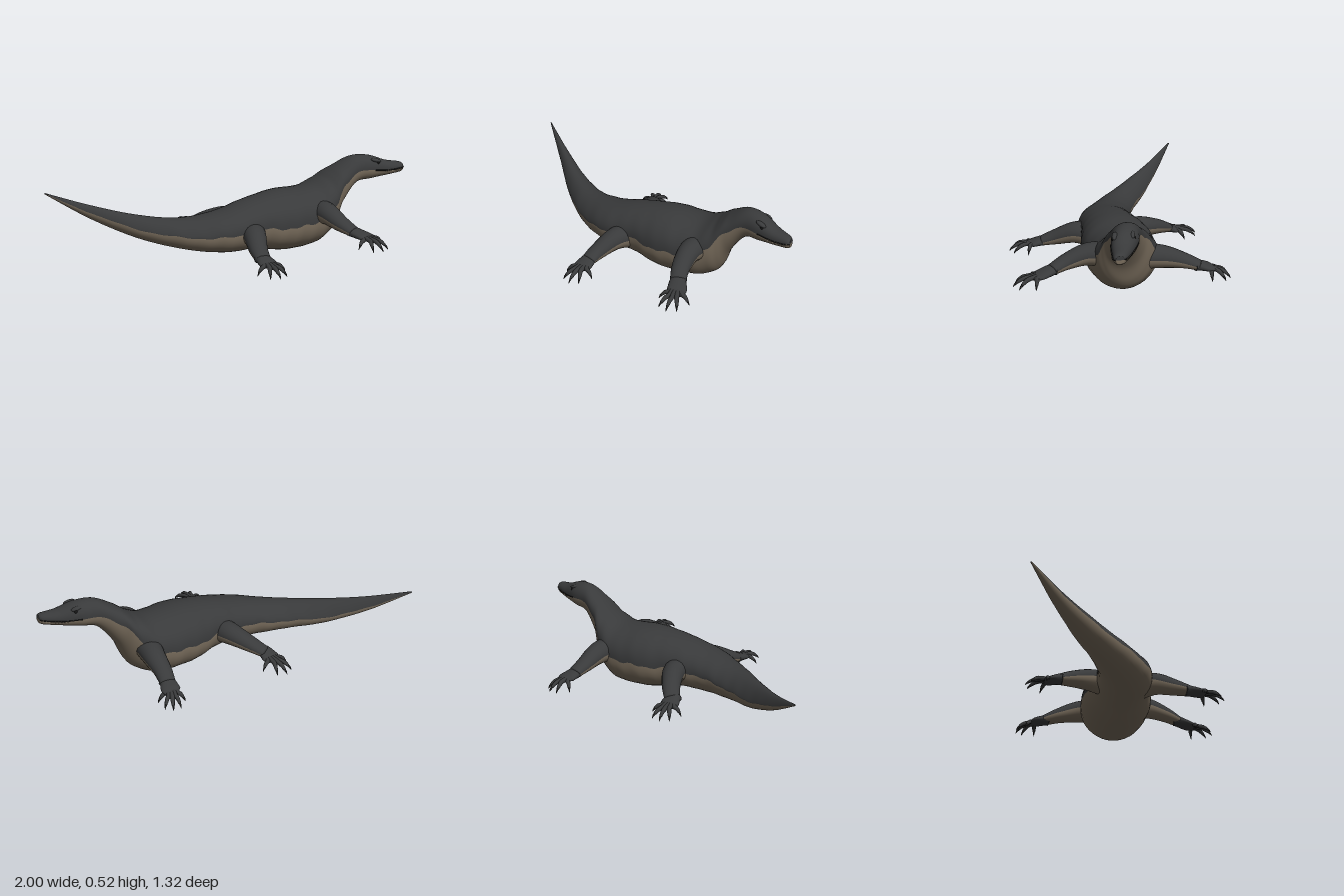
import * as THREE from 'three';

const V = (x, y, z) => new THREE.Vector3(x, y, z);

// Smoothly interpolate every column of a small table of cross-sections
function refine(rows, steps) {
  const out = [], at = i => rows[Math.min(Math.max(i, 0), rows.length - 1)];
  for (let i = 0; i < rows.length - 1; i++) {
    for (let s = 0; s < steps; s++) {
      const t = s / steps;
      out.push(rows[i].map((b, c) => {
        const a = at(i - 1)[c], d = at(i + 1)[c], e = at(i + 2)[c];
        return 0.5 * (2 * b + (d - a) * t + (2 * a - 5 * b + 4 * d - e) * t * t + (3 * b - a - 3 * d + e) * t ** 3);
      }));
    }
  }
  out.push(rows[rows.length - 1]);
  return out;
}

// Skin closed rings; the first half of each ring takes material 0, the rest material 1
function skin(name, rings, materials) {
  const n = rings[0].length, last = rings.length - 1, points = rings.flat(), halves = [[], []];
  for (const r of [rings[0], rings[last]])
    points.push(r.reduce((s, p) => s.add(p), V(0, 0, 0)).divideScalar(n));
  const capA = rings.length * n, capB = capA + 1;
  for (let j = 0; j < n; j++) {
    const k = (j + 1) % n, list = halves[j < n / 2 ? 0 : 1];
    for (let i = 0; i < last; i++) {
      const a = i * n + j, b = i * n + k;
      list.push(a, b, a + n, b, b + n, a + n);
    }
    list.push(capA, k, j, capB, last * n + j, last * n + k);
  }
  // Turn the faces outward if the signed volume is negative
  let volume = 0;
  for (const h of halves) for (let i = 0; i < h.length; i += 3)
    volume += points[h[i]].dot(points[h[i + 1]].clone().cross(points[h[i + 2]]));
  if (volume < 0) for (const h of halves) h.reverse();

  const g = new THREE.BufferGeometry().setFromPoints(points);
  g.setIndex([...halves[0], ...halves[1]]);
  g.addGroup(0, halves[0].length, 0);
  g.addGroup(halves[0].length, halves[1].length, 1);
  g.computeVertexNormals();
  const mesh = new THREE.Mesh(g, materials);
  mesh.name = name;
  return mesh;
}

// Limb with elliptical sections: rows of x, y, z, half width, half height
function limb(name, rows, steps, n, materials) {
  const fine = refine(rows, steps), c = fine.map(r => V(r[0], r[1], r[2]));
  const rings = fine.map((r, i) => {
    const t = c[Math.min(i + 1, c.length - 1)].clone().sub(c[Math.max(i - 1, 0)]).normalize();
    const side = t.clone().cross(V(0, 1, 0)).normalize(), up = side.clone().cross(t);
    return Array.from({ length: n }, (_, j) => {
      const a = j / n * Math.PI * 2;
      return c[i].clone().addScaledVector(side, Math.cos(a) * r[3]).addScaledVector(up, Math.sin(a) * r[4]);
    });
  });
  return skin(name, rings, materials);
}

// Body from tail tip to snout: x, z min, z max, top, colour seam, bottom
const BODY = [
  [-1, -.665, -.655, .392, .388, .384],
  [-.8, -.525, -.425, .33, .285, .245],
  [-.6, -.385, -.18, .286, .212, .145],
  [-.4, -.255, .02, .272, .188, .09],
  [-.2, -.18, .135, .302, .19, .06],
  [0, -.172, .163, .347, .205, .05],
  [.2, -.203, .208, .372, .19, .009],
  [.4, -.19, .203, .366, .205, .01],
  [.5, -.15, .188, .402, .26, .05],
  [.55, -.11, .172, .435, .33, .105],
  [.6, -.062, .16, .47, .385, .225],
  [.7, -.004, .157, .522, .44, .352],
  [.8, .032, .184, .52, .44, .374],
  [.9, .09, .203, .483, .43, .39],
  [.98, .14, .215, .468, .435, .402],
  [1, .162, .207, .458, .436, .412],
];

// Limb paths from shoulder or hip through wrist to palm, with the fan of toes
const LIMBS = [
  { name: 'leftFrontLimb', web: .6, tipY: .14, heading: .03, reach: .145,
    path: [[.43, .23, .1], [.413, .24, .22], [.42, .21, .34], [.445, .18, .43], [.475, .165, .51]] },
  { name: 'rightFrontLimb', web: .6, tipY: .11, heading: .45, reach: .12,
    path: [[.46, .22, -.08], [.487, .213, -.2], [.5, .185, -.31], [.52, .155, -.4], [.535, .145, -.455]] },
  { name: 'leftHindLimb', web: .4, tipY: .085, heading: -.1, reach: .14,
    path: [[-.04, .17, .08], [-.085, .178, .18], [-.135, .14, .29], [-.158, .115, .37], [-.162, .105, .425]] },
  { name: 'rightHindLimb', web: .4, tipY: .1, heading: -.1, reach: .14,
    path: [[-.02, .18, -.08], [-.034, .195, -.2], [-.085, .17, -.32], [-.14, .135, -.405], [-.145, .12, -.45]] },
];
const GIRTH = [[.08, .075], [.066, .064], [.053, .045], [.045, .028]];

function buildLimb({ name, web, tipY, heading, reach, path }, hide, belly, claw) {
  const g = new THREE.Group(), dark = [hide, hide];
  const wrist = path[3], [px, py, pz] = path[4], out = Math.sign(pz);
  g.name = name;
  g.add(limb('leg', GIRTH.map((r, i) => [...path[i], ...r]), 6, 20, [hide, belly]));
  // Flat palm
  g.add(limb('palm', [
    [wrist[0], wrist[1], wrist[2] - out * .03, .044, .029], [...wrist, .046, .028],
    [px, py, pz, .055, .018], [px, py - .006, pz + out * .03, .035, .009]], 4, 16, dark));
  // Toes with claws, fanned around the heading
  const knuckles = [], roots = [];
  for (let i = 0; i < 5; i++) {
    const u = (i - 2) / 2, angle = heading + 1.2 * (.6 * u + .4 * u ** 3), length = reach * (1 - .33 * u * u);
    const along = (t, lift) => [
      px + Math.sin(angle) * length * t, py + (tipY - py) * t + lift, pz + out * Math.cos(angle) * length * t];
    const root = [(wrist[0] + px) / 2 + u * .02, (wrist[1] + py) / 2, (wrist[2] + pz) / 2];
    g.add(limb('toe', [[...root, .016, .014], [...along(.4, .008), .014, .013],
      [...along(.65, .006), .012, .012], [...along(.85, -.006), .008, .008]], 3, 8, dark));
    g.add(limb('claw', [[...along(.8, -.003), .008, .008], [...along(.92, -.012), .005, .006],
      [...along(1, -.025), .001, .001]], 2, 6, [claw, claw]));
    knuckles.push(V(...along(web, .002)));
    roots.push(V(...root));
  }
  // Webbing between neighbouring toes
  const pts = [];
  for (let i = 0; i < 4; i++) {
    const mid = knuckles[i].clone().add(knuckles[i + 1]).multiplyScalar(.5).lerp(V(px, py, pz), .25);
    pts.push(roots[i], knuckles[i], mid, roots[i], mid, knuckles[i + 1], roots[i], knuckles[i + 1], roots[i + 1]);
  }
  const webGeometry = new THREE.BufferGeometry().setFromPoints(pts);
  webGeometry.computeVertexNormals();
  const webbing = new THREE.Mesh(webGeometry, hide);
  webbing.name = 'webbing';
  g.add(webbing);
  return g;
}

export function createModel() {
  const mat = (name, color, side = THREE.FrontSide) => Object.assign(new THREE.MeshStandardMaterial({ color, side }), { name });
  const hide = mat('dark hide', 0x393a3b, THREE.DoubleSide), belly = mat('pale belly', 0x786c5c);
  const claw = mat('claw', 0x252525), bone = mat('tooth', 0xa79c86), black = mat('eye black', 0x151515);
  const model = new THREE.Group();
  model.name = 'reptile';

  // Tail, trunk, neck and head in one skin; the tail rises to a ridge and the seam wavers
  const N = 40, { smoothstep } = THREE.MathUtils;
  const rings = refine(BODY, 8).map(([x, z0, z1, top, seam, bottom]) => {
    const ridge = .9 + .7 * (1 - smoothstep(x, -.6, -.1)) - .15 * smoothstep(x, .7, .9);
    const waver = .06 * (seam - bottom) * Math.sin(x * 43) * Math.sin(x * 17) * (1 - smoothstep(x, .6, .75));
    const mid = seam + waver;
    return Array.from({ length: N }, (_, j) => {
      const a = j / N * Math.PI * 2, s = Math.sin(a);
      const y = j <= N / 2 ? mid + (top - mid) * Math.abs(s) ** ridge : mid - (mid - bottom) * Math.abs(s) ** .95;
      return V(x, y, (z0 + z1) / 2 + (z1 - z0) / 2 * Math.cos(a));
    });
  });
  model.add(skin('body', rings, [hide, belly]));

  // Mouth line, teeth, eyes and brows on each side of the head
  const head = BODY.filter(r => r[0] >= .8);
  for (const side of [1, 2]) {
    const lip = new THREE.CatmullRomCurve3(head.map(r => V(r[0], r[4], r[side])));
    const mouth = new THREE.Mesh(new THREE.TubeGeometry(lip, 30, .004, 6), black);
    mouth.name = 'mouthLine';
    model.add(mouth);
    for (let i = 0; i < 9; i++) {
      const tooth = new THREE.Mesh(new THREE.ConeGeometry(.004, .016, 6), bone);
      tooth.position.copy(lip.getPointAt(.35 + i * .07)).y -= .005;
      tooth.rotation.x = Math.PI;
      tooth.name = 'tooth';
      model.add(tooth);
    }
    const z = side === 1 ? .064 : .174, inward = side === 1 ? .008 : -.008;
    const eye = new THREE.Mesh(new THREE.SphereGeometry(.011, 14, 10), black);
    eye.position.set(.825, .482, z);
    eye.name = 'eye';
    const brow = new THREE.Mesh(new THREE.SphereGeometry(.02, 14, 10), hide);
    brow.scale.set(1.7, .6, .8);
    brow.position.set(.815, .496, z + inward);
    brow.rotation.set(0, -.3, -.25);
    brow.name = 'brow';
    model.add(eye, brow);
  }

  for (const spec of LIMBS) model.add(buildLimb(spec, hide, belly, claw));
  return model;
}
